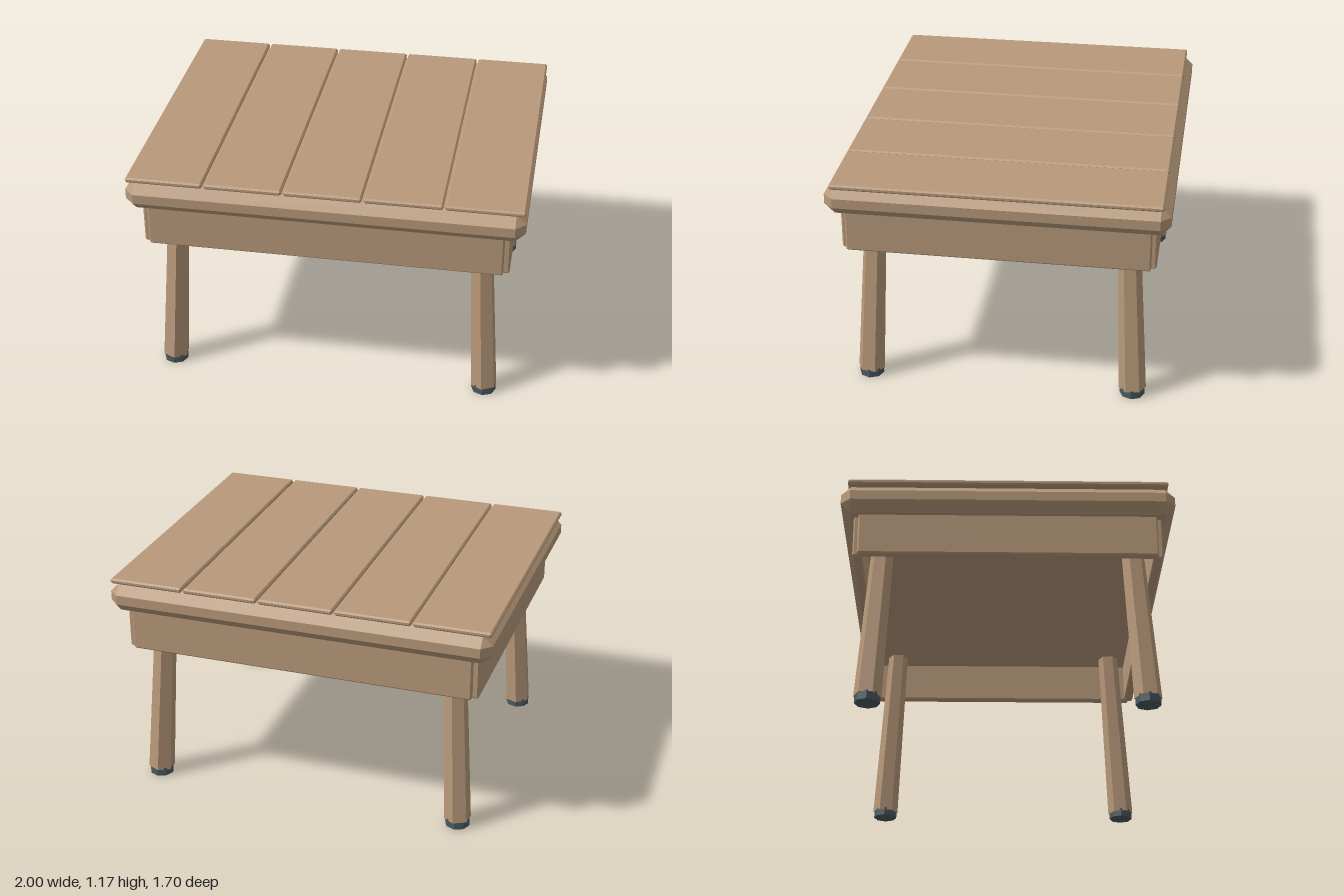
import * as THREE from 'three';
import { ConvexGeometry } from 'three/addons/geometries/ConvexGeometry.js';

// Box with cut edges and corners
function chamferBox(w, h, d, c) {
  const points = [];
  for (const sx of [-1, 1]) for (const sy of [-1, 1]) for (const sz of [-1, 1]) {
    const [x, y, z] = [sx * w / 2, sy * h / 2, sz * d / 2];
    points.push(
      new THREE.Vector3(x, y - sy * c, z - sz * c),
      new THREE.Vector3(x - sx * c, y, z - sz * c),
      new THREE.Vector3(x - sx * c, y - sy * c, z));
  }
  return new ConvexGeometry(points);
}

// Give every face its own flat normal
function faceted(geometry) {
  const flat = geometry.toNonIndexed();
  flat.computeVertexNormals();
  return flat;
}

export function createModel() {
  const table = new THREE.Group();
  table.name = 'table';
  const wood = new THREE.MeshStandardMaterial({ color: 0xb8997a });
  wood.name = 'wood';
  const rubber = new THREE.MeshStandardMaterial({ color: 0x4a5a60 });
  rubber.name = 'rubber';

  const add = (name, geometry, material, x, y, z) => {
    const mesh = new THREE.Mesh(geometry, material);
    mesh.name = name;
    mesh.position.set(x, y, z);
    table.add(mesh);
    return mesh;
  };

  // Thick bevelled top with five planks on it
  add('tabletop', chamferBox(2, 0.15, 1.7, 0.05), wood, 0, 1.075, 0);
  const plank = chamferBox(0.39, 0.027, 1.63, 0.008);
  for (let i = -2; i <= 2; i++) add('plank', plank, wood, i * 0.4, 1.159, 0);

  // Four apron boards, notched at the corners
  const longBoard = chamferBox(1.8, 0.23, 0.05, 0.008);
  const shortBoard = chamferBox(0.05, 0.23, 1.52, 0.008);
  for (const s of [-1, 1]) {
    add('longApron', longBoard, wood, 0, 0.895, s * 0.76);
    add('sideApron', shortBoard, wood, s * 0.905, 0.895, 0);
  }

  // Splayed six-sided legs, mirrored into each corner, with rubber feet
  const up = new THREE.Vector3(0, 1, 0);
  const foot = faceted(new THREE.CylinderGeometry(0.064, 0.064, 0.045, 8));
  for (const sx of [-1, 1]) for (const sz of [-1, 1]) {
    const top = new THREE.Vector3(sx * 0.773, 1.01, sz * 0.633);
    const bottom = new THREE.Vector3(sx * 0.829, 0.035, sz * 0.685);
    const axis = top.clone().sub(bottom);
    const mid = top.clone().add(bottom).multiplyScalar(0.5);
    const twist = -sx * sz * THREE.MathUtils.degToRad(5);
    const shape = faceted(new THREE.CylinderGeometry(0.056, 0.07, axis.length(), 6, 1, false, twist));
    const leg = add('leg', shape, wood, mid.x, mid.y, mid.z);
    leg.quaternion.setFromUnitVectors(up, axis.normalize());
    add('foot', foot, rubber, sx * 0.829, 0.0225, sz * 0.685);
  }
  return table;
}
